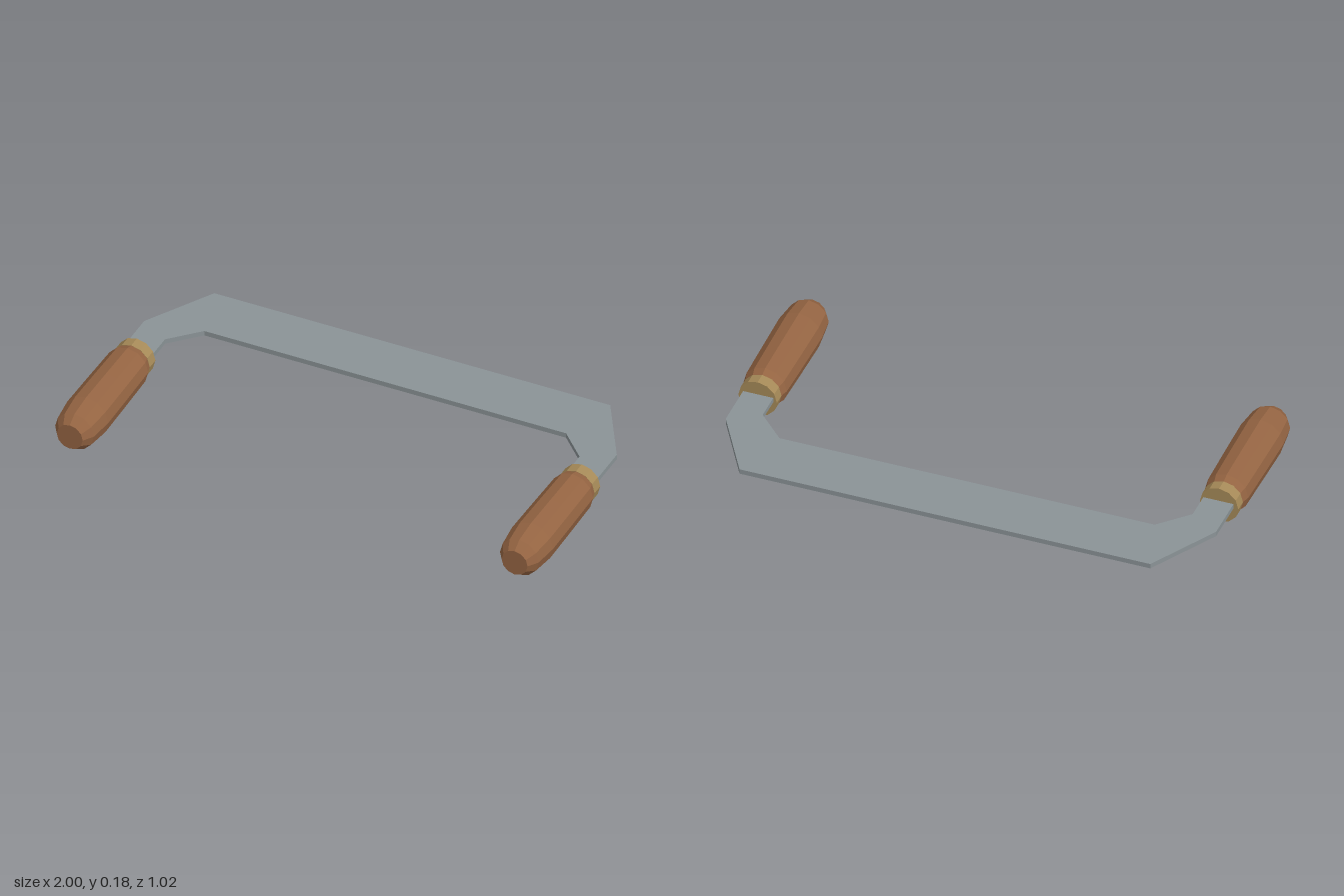
import * as THREE from 'three';

const HANDLE_X = 0.91;
const HANDLE_Y = 0.09;

function material(color) {
  return new THREE.MeshStandardMaterial({ color, flatShading: true });
}

// Twelve-sided turned part along z, from [radius, z] pairs in rising z
function turned(name, profile, mat) {
  const points = profile.map(([r, z]) => new THREE.Vector2(r, z));
  const geometry = new THREE.LatheGeometry(points, 12);
  geometry.rotateX(Math.PI / 2);
  const mesh = new THREE.Mesh(geometry, mat);
  mesh.name = name;
  return mesh;
}

export function createModel() {
  const group = new THREE.Group();
  group.name = 'drawknife';
  const steel = material(0x8a9396);
  const wood = material(0x946442);
  const brass = material(0xa68a58);

  // Flat blade with bent tangs, half outline [x, -z] mirrored to the other side
  const half = [[0.81, 0.51], [0.967, 0.24], [0.967, 0.04], [0.848, 0.04], [0.848, 0.17], [0.74, 0.28]];
  const mirrored = half.map(([x, y]) => [-x, y]).reverse();
  const outline = [...half, ...mirrored].map(([x, y]) => new THREE.Vector2(x, y));
  const bladeGeometry = new THREE.ExtrudeGeometry(new THREE.Shape(outline), { depth: 0.02, bevelEnabled: false });
  bladeGeometry.rotateX(-Math.PI / 2);
  const blade = new THREE.Mesh(bladeGeometry, steel);
  blade.name = 'blade';
  blade.position.y = 0.09;
  group.add(blade);

  // Handles: wooden grip and metal ferrule
  for (const [side, sign] of [['left', 1], ['right', -1]]) {
    const handle = new THREE.Group();
    handle.name = side + 'Handle';
    handle.position.set(sign * HANDLE_X, HANDLE_Y, 0);
    handle.add(
      turned('grip', [
        [0, -0.015], [0.074, -0.015], [0.085, 0.02], [0.088, 0.2],
        [0.09, 0.37], [0.079, 0.47], [0.053, 0.51], [0, 0.51],
      ], wood),
      turned('ferrule', [[0, -0.06], [0.076, -0.06], [0.076, -0.012], [0, -0.012]], brass),
    );
    group.add(handle);
  }
  return group;
}
